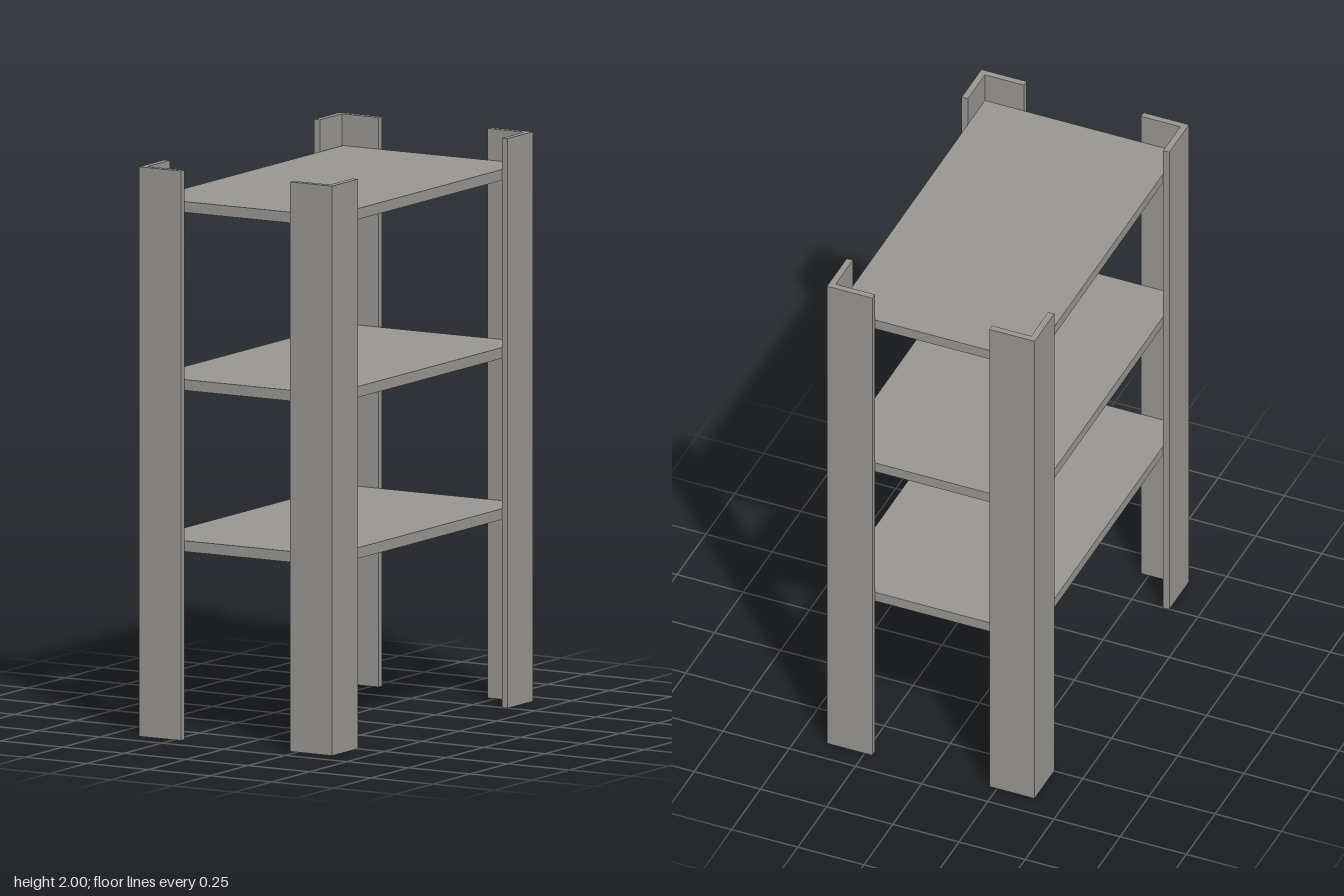
import * as THREE from 'three';

const HALF_X = 0.392, HALF_Z = 0.67, HEIGHT = 2;
const FLANGE = 0.171, THICK = 0.023;

// L-shaped angle post with its outer corner at (sx * HALF_X, sz * HALF_Z)
function angleGeometry(sx, sz) {
  const profile = [[0, 0], [FLANGE, 0], [FLANGE, THICK], [THICK, THICK], [THICK, FLANGE], [0, FLANGE]];
  // shape y becomes -z once the extrusion is stood upright
  const shape = new THREE.Shape(profile.map(([a, b]) =>
    new THREE.Vector2(sx * (HALF_X - a), -sz * (HALF_Z - b))));
  const geometry = new THREE.ExtrudeGeometry(shape, { depth: HEIGHT, bevelEnabled: false });
  return geometry.rotateX(-Math.PI / 2);
}

export function createModel() {
  const group = new THREE.Group();
  group.name = 'shelfUnit';
  const steel = new THREE.MeshStandardMaterial({ name: 'warm grey steel', color: 0x989692 });

  // Four corner posts
  for (const sx of [-1, 1]) {
    for (const sz of [-1, 1]) {
      const post = new THREE.Mesh(angleGeometry(sx, sz), steel);
      post.name = `${sz > 0 ? 'front' : 'back'}${sx > 0 ? 'Left' : 'Right'}Post`;
      group.add(post);
    }
  }

  // Three shelves, a hair narrower than the space between the posts
  [['lowerShelf', 0.679], ['middleShelf', 1.245], ['upperShelf', 1.87]].forEach(([name, y]) => {
    const shelf = new THREE.Mesh(new THREE.BoxGeometry(0.732, 0.038, 1.293), steel);
    shelf.name = name;
    shelf.position.set(0.002, y, -0.001);
    group.add(shelf);
  });

  return group;
}
